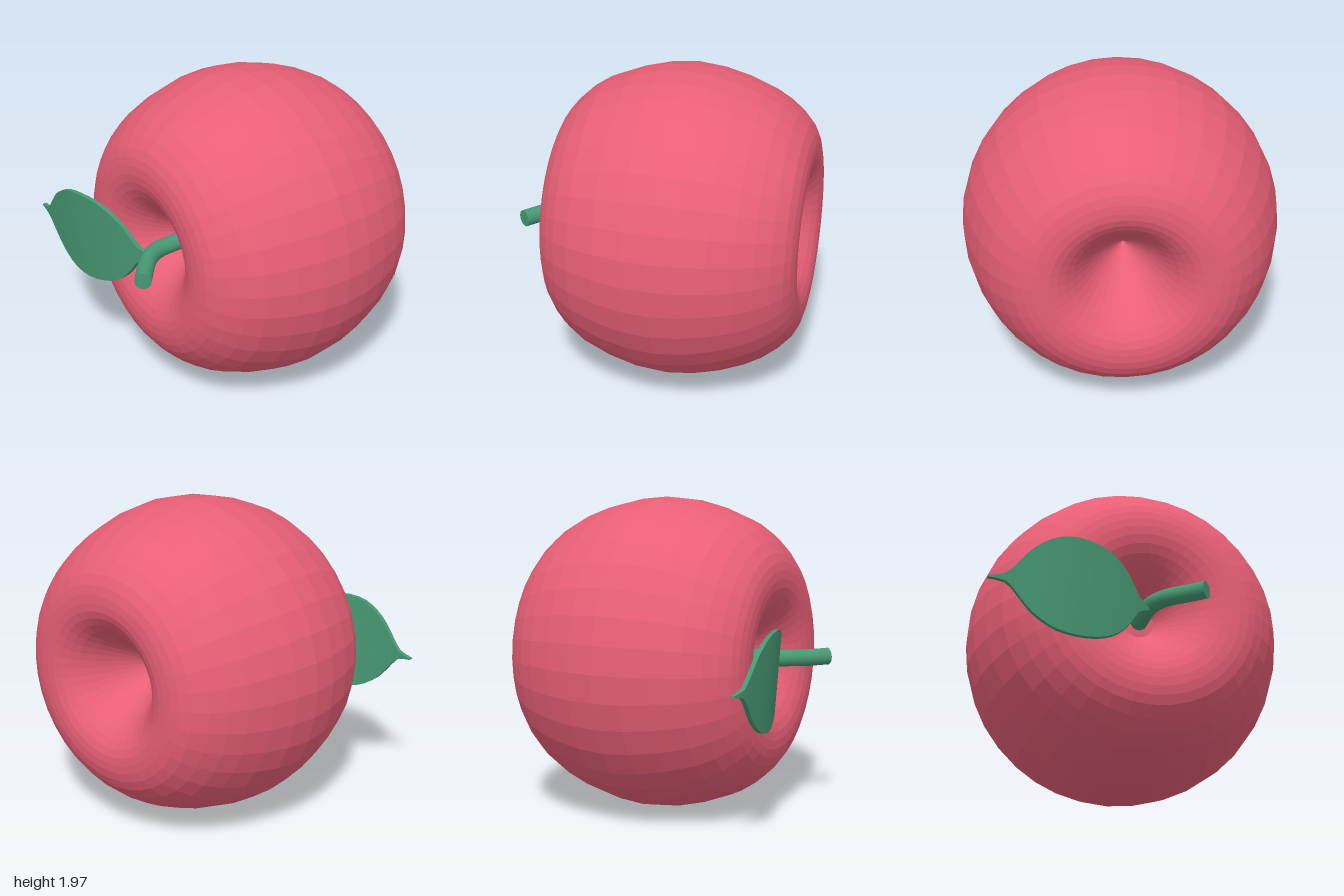
import * as THREE from 'three';

const CX = 0.01, CY = 0.99;

export function createModel() {
  const model = new THREE.Group();
  const red = new THREE.MeshStandardMaterial({ color: 0xe85f76, flatShading: true });
  const green = new THREE.MeshStandardMaterial({ color: 0x479873 });

  const add = (name, geometry, material) => {
    const mesh = new THREE.Mesh(geometry, material);
    mesh.name = name;
    model.add(mesh);
    return mesh;
  };

  // Fruit: lathe along z, from the pointed back dimple to the front stem pit (radius, z)
  const profile = new THREE.SplineCurve([
    [0, -0.4], [0.1, -0.52], [0.2, -0.66], [0.29, -0.79], [0.36, -0.86], [0.43, -0.9],
    [0.5, -0.91], [0.58, -0.9], [0.67, -0.86], [0.78, -0.75], [0.87, -0.6], [0.95, -0.37],
    [0.985, -0.12], [0.955, 0.13], [0.86, 0.4], [0.76, 0.54], [0.66, 0.625], [0.58, 0.657],
    [0.5, 0.665], [0.42, 0.652], [0.34, 0.612], [0.27, 0.555], [0.2, 0.48], [0.15, 0.41], [0.095, 0.33],
  ].map(([r, z]) => new THREE.Vector2(r, z)));
  const points = profile.getPoints(36);
  points[0].x = 0;
  points.push(new THREE.Vector2(0, 0.33)); // floor of the stem pit
  const fruit = new THREE.LatheGeometry(points, 36);
  fruit.rotateX(Math.PI / 2);
  add('fruit', fruit, red).position.set(CX, CY, 0);

  // Stem: bent tube with a flat end
  const stemPath = new THREE.CatmullRomCurve3([
    [0.015, 0.995, 0.31], [0.015, 0.995, 0.46], [0.03, 0.995, 0.6], [0.09, 0.995, 0.7],
    [0.18, 0.99, 0.785], [0.28, 0.99, 0.868],
  ].map((p) => new THREE.Vector3(...p)));
  const stemRadius = 0.053;
  add('stem', new THREE.TubeGeometry(stemPath, 16, stemRadius, 16), green);
  const end = add('stemEnd', new THREE.CircleGeometry(stemRadius, 16), green);
  const tip = stemPath.getPoint(1);
  end.position.copy(tip);
  end.lookAt(tip.clone().add(stemPath.getTangent(1)));

  // Leaf: thin slab shaped by a spline of (x, half width, z)
  const leafCurve = new THREE.CatmullRomCurve3([
    [-1, 0.004, 0.788], [-0.9, 0.025, 0.802], [-0.84, 0.085, 0.807], [-0.77, 0.17, 0.81],
    [-0.7, 0.23, 0.812], [-0.6, 0.283, 0.81], [-0.47, 0.302, 0.797], [-0.35, 0.287, 0.766],
    [-0.25, 0.25, 0.737], [-0.17, 0.185, 0.705], [-0.12, 0.12, 0.682], [-0.07, 0.045, 0.656],
    [0, 0.01, 0.61],
  ].map((p) => new THREE.Vector3(...p)));
  const leaf = new THREE.BoxGeometry(1, 2, 0.028, 24, 2, 1);
  const pos = leaf.attributes.position;
  for (let i = 0; i < pos.count; i++) {
    const c = leafCurve.getPoint(pos.getX(i) + 0.5);
    const dy = pos.getY(i) * c.y;
    // the upper edge leans slightly forward
    pos.setXYZ(i, c.x, 0.945 + dy, c.z + pos.getZ(i) + dy * 0.08);
  }
  leaf.computeVertexNormals();
  add('leaf', leaf, green);

  return model;
}
